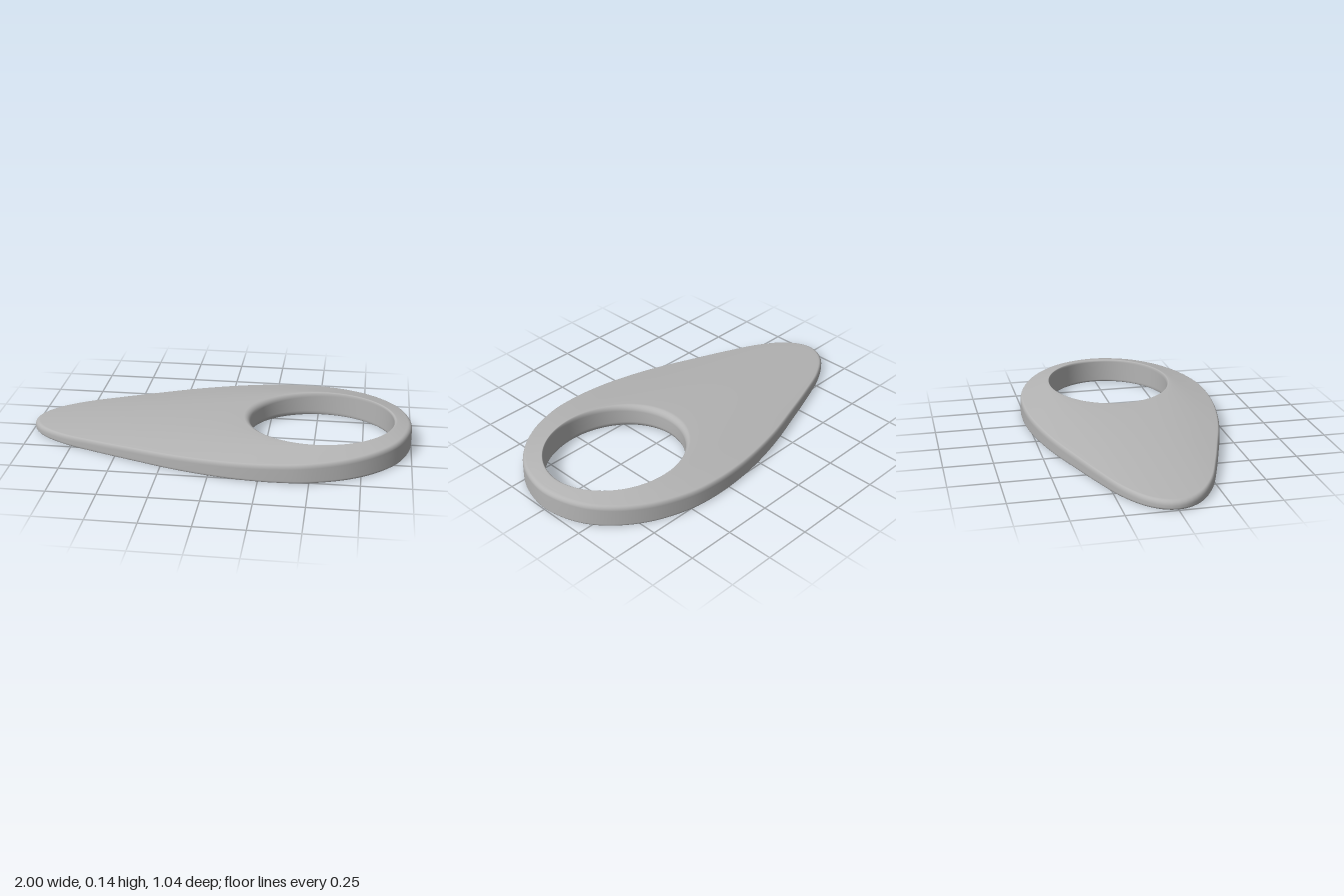
import * as THREE from 'three';

const STATIONS = 144; // cross-sections around the ring
const ARC = 5;        // steps per rounded corner
const SPAN = 12;      // steps across the top and the underside

// Half outline (x, z) from the tapered tip to the broad end
const HALF = [[-1, 0], [-0.985, 0.062], [-0.93, 0.135], [-0.8, 0.22], [-0.6, 0.3], [-0.4, 0.37], [-0.2, 0.437],
  [0, 0.487], [0.17, 0.514], [0.34, 0.522], [0.5, 0.507], [0.7, 0.438], [0.85, 0.332], [0.95, 0.2], [1, 0]];
const HOLE = { x: 0.535, rx: 0.373, rz: 0.332 };

function outlineCurve() {
  const back = HALF.slice(1, -1).reverse().map(([x, z]) => [x, -z]);
  const curve = new THREE.CatmullRomCurve3([...HALF, ...back].map(([x, z]) => new THREE.Vector3(x, 0, z)), true);
  curve.arcLengthDivisions = 1000;
  return curve;
}

// Closed cross-section between outline point o and hole point h, as [inset, y]
function section(o, h) {
  const width = o.distanceTo(h);
  const edgeY = 0.082 + 0.037 * o.x;    // height of the outer shoulder
  const crestY = 0.1285 + 0.009 * h.x;  // height of the hole rim
  const lip = 0.012 + 0.022 * THREE.MathUtils.clamp((0.91 - h.x) / 0.75, 0, 1);
  const bottom = 0.012, shoulder = 0.026;
  const topY = (inset) => edgeY + (crestY - edgeY) * (1 - Math.pow(1 - inset / width, 1.25));
  const pts = [];
  const corner = (cx, cy, rx, ry, from) => {
    for (let k = 0; k <= ARC; k++) {
      const a = from - (k / ARC) * Math.PI / 2;
      pts.push([cx + rx * Math.cos(a), cy + ry * Math.sin(a)]);
    }
  };
  const span = (a, b, yOf) => {
    for (let k = 1; k < SPAN; k++) {
      const s = a + (b - a) * k / SPAN;
      pts.push([s, yOf(s)]);
    }
  };
  const inTop = width - lip;
  corner(bottom, bottom, bottom, bottom, Math.PI * 1.5);                              // outer foot
  corner(shoulder, topY(shoulder) - shoulder, shoulder, shoulder, Math.PI);           // outer shoulder
  span(shoulder, inTop, topY);                                                        // top
  corner(inTop, topY(inTop) - lip, lip, lip, Math.PI / 2);                            // upper hole lip
  corner(inTop, lip, lip, lip, 0);                                                    // lower hole lip
  span(inTop, bottom, () => 0);                                                       // underside
  return pts;
}

function bodyGeometry() {
  const curve = outlineCurve();
  const positions = [], index = [];
  let n = 0;
  for (let i = 0; i < STATIONS; i++) {
    const a = (i / STATIONS) * Math.PI * 2;
    const o = curve.getPointAt(i / STATIONS);
    const h = new THREE.Vector3(HOLE.x - HOLE.rx * Math.cos(a), 0, HOLE.rz * Math.sin(a));
    const dir = h.clone().sub(o).normalize();
    const pts = section(o, h);
    n = pts.length;
    for (const [inset, y] of pts) positions.push(o.x + dir.x * inset, y, o.z + dir.z * inset);
  }
  // Stitch neighbouring sections, closing both ways
  for (let i = 0; i < STATIONS; i++) {
    const p = i * n, q = ((i + 1) % STATIONS) * n;
    for (let j = 0; j < n; j++) {
      const k = (j + 1) % n;
      index.push(p + j, q + j, p + k, q + j, q + k, p + k);
    }
  }
  const geometry = new THREE.BufferGeometry();
  geometry.setAttribute('position', new THREE.Float32BufferAttribute(positions, 3));
  geometry.setIndex(index);
  geometry.computeVertexNormals();
  return geometry;
}

export function createModel() {
  const grey = new THREE.MeshStandardMaterial({ color: 0xb4b4b4 });
  grey.name = 'plain grey';
  const body = new THREE.Mesh(bodyGeometry(), grey);
  body.name = 'teardropRingBody';
  const group = new THREE.Group();
  group.name = 'teardropRing';
  group.add(body);
  return group;
}
